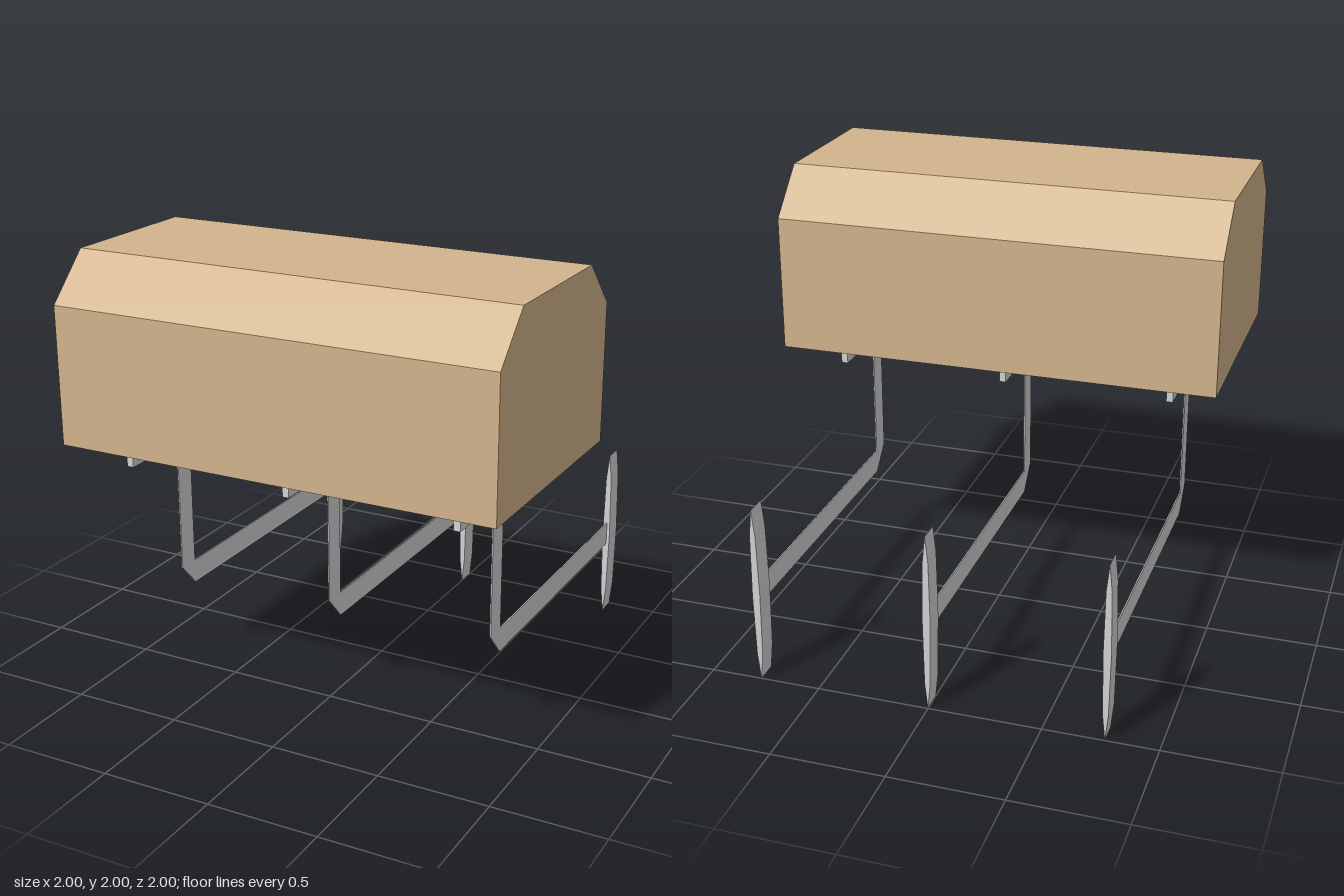
import * as THREE from 'three';

// Extrudes a side profile of [z, y] points along x, centred on x = 0
function sideExtrude(points, width) {
  const shape = new THREE.Shape(points.map(([z, y]) => new THREE.Vector2(-z, y)));
  const geometry = new THREE.ExtrudeGeometry(shape, { depth: width, bevelEnabled: false });
  geometry.translate(0, 0, -width / 2);
  geometry.rotateY(Math.PI / 2);
  return geometry;
}

export function createModel() {
  const tan = new THREE.MeshStandardMaterial({ color: 0xd2b48c });
  tan.name = 'tan';
  const lightGrey = new THREE.MeshStandardMaterial({ color: 0xd3d3d3 });
  lightGrey.name = 'lightGrey';

  const model = new THREE.Group();
  model.name = 'model';
  const add = (parent, name, geometry, material) => {
    const mesh = new THREE.Mesh(geometry, material);
    mesh.name = name;
    parent.add(mesh);
    return mesh;
  };

  // Long body with both upper edges cut off
  const bodyProfile = [[1, 1.19], [1, 1.8], [0.8, 2], [0.1, 2], [-0.1, 1.8], [-0.1, 1.19]];
  add(model, 'body', sideExtrude(bodyProfile, 2), tan);

  // Bent flat arm with a cut outer corner
  const armProfile = [[0.5, 1.08], [0.4, 1.08], [0.4, 0.47], [-0.9, 0.47],
    [-0.9, 0.36], [0.4, 0.36], [0.5, 0.47]];
  const armGeometry = sideExtrude(armProfile, 0.006);

  // Narrow eight-sided end plate
  const plateGeometry = new THREE.CylinderGeometry(0.41, 0.41, 0.1, 8).toNonIndexed();
  plateGeometry.rotateX(Math.PI / 2);
  plateGeometry.scale(0.0175 / 0.41, 1, 1);
  plateGeometry.computeVertexNormals();

  // Three identical supports
  for (const [x, side] of [[-0.77, 'right'], [0, 'middle'], [0.77, 'left']]) {
    const support = new THREE.Group();
    support.name = side + 'Support';
    support.position.x = x;
    add(support, 'mountingBar', new THREE.BoxGeometry(0.03, 0.11, 0.8), lightGrey).position.set(0, 1.135, 0.45);
    add(support, 'arm', armGeometry, lightGrey);
    add(support, 'endPlate', plateGeometry, lightGrey).position.set(0, 0.41, -0.95);
    model.add(support);
  }
  return model;
}
